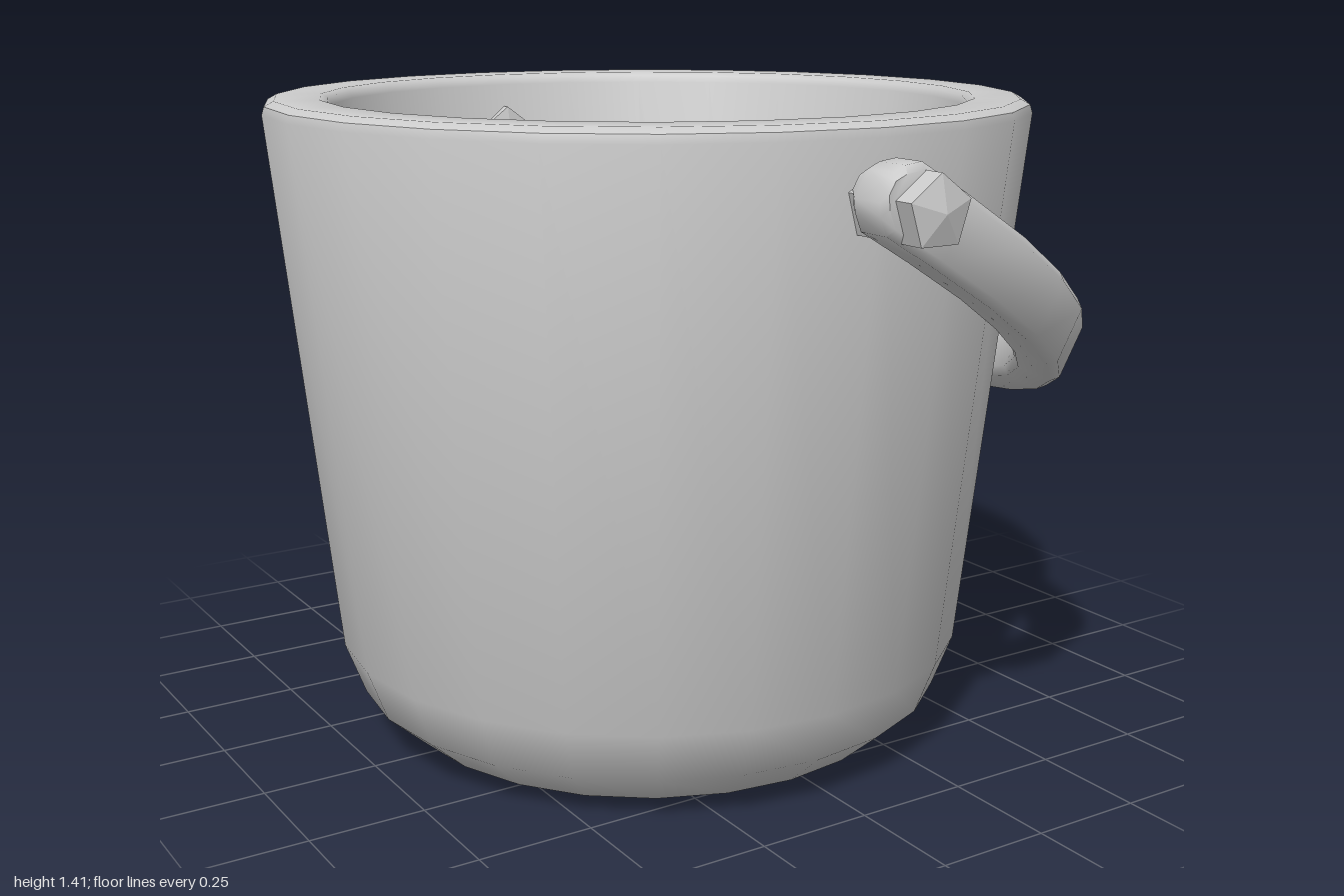
import * as THREE from 'three';
import { toCreasedNormals } from 'three/addons/utils/BufferGeometryUtils.js';

const AXIS_X = -0.055; // bucket axis
const PIVOT_Y = 1.265; // handle pivot height
const TILT = THREE.MathUtils.degToRad(-30.5);

const mat = new THREE.MeshStandardMaterial({ color: 0xcccccc });

function addMesh(parent, name, geometry, crease) {
  const mesh = new THREE.Mesh(toCreasedNormals(geometry, crease), mat);
  mesh.name = name;
  parent.add(mesh);
  return mesh;
}

const lathe = (profile, sides) =>
  new THREE.LatheGeometry(profile.map(([r, y]) => new THREE.Vector2(r, y)), sides);

// Sweeps a chamfered rectangle along stations { x, z, a, w }:
// a = direction of the outer face in the xz plane, w = half width in y
function sweepBand(stations, halfThick, chamfer) {
  const pos = [], index = [], N = 8;
  for (const { x, z, a, w } of stations) {
    const t = halfThick, c = chamfer;
    const section = [
      [w, -t + c], [w, t - c], [w - c, t], [-w + c, t],
      [-w, t - c], [-w, -t + c], [-w + c, -t], [w - c, -t],
    ];
    for (const [n, o] of section) pos.push(x + Math.cos(a) * o, n, z + Math.sin(a) * o);
  }
  const last = (stations.length - 1) * N;
  for (let i = 0; i < last; i += N) {
    for (let j = 0; j < N; j++) {
      const k = (j + 1) % N;
      index.push(i + j, i + k, i + N + j, i + k, i + N + k, i + N + j);
    }
  }
  for (let j = 1; j < N - 1; j++) {
    index.push(0, j + 1, j, last, last + j, last + j + 1);
  }
  const g = new THREE.BufferGeometry();
  g.setAttribute('position', new THREE.Float32BufferAttribute(pos, 3));
  g.setIndex(index);
  return g;
}

export function createModel() {
  const model = new THREE.Group();
  model.name = 'bucket';

  // Thick-walled body: outside, rim, inside, floor
  const body = addMesh(model, 'body', lathe([
    [0, 0], [0.44, 0], [0.57, 0.02], [0.66, 0.1], [0.703, 0.215],
    [0.825, 1.385], [0.82, 1.402], [0.8, 1.413],
    [0.705, 1.413], [0.69, 1.405], [0.683, 1.39],
    [0.58, 0.3], [0.55, 0.22], [0.5, 0.165], [0.43, 0.14], [0, 0.14],
  ], 24), 0.75);
  body.position.x = AXIS_X;

  // Tilted handle: straight ends joined by a half circle
  const R = 0.888, START = 0.09, HALF = 0.075, STEPS = 16;
  const ends = [[-0.088, 0.03], [-0.072, 0.052], [-0.042, HALF]];
  const stations = ends.map(([x, w]) => ({ x, z: R, a: Math.PI / 2, w }));
  for (let i = 0; i <= STEPS; i++) {
    const a = Math.PI / 2 - (Math.PI * i) / STEPS;
    stations.push({ x: START + R * Math.cos(a), z: R * Math.sin(a), a, w: HALF });
  }
  for (const [x, w] of [...ends].reverse()) stations.push({ x, z: -R, a: -Math.PI / 2, w });
  const handle = addMesh(model, 'handle', sweepBand(stations, 0.052, 0.016), 0.9);
  handle.position.set(AXIS_X, PIVOT_Y, 0);
  handle.rotation.z = TILT;

  // Five-sided pins with pointed ends, through handle and wall
  for (const side of [1, -1]) {
    const pin = addMesh(model, side > 0 ? 'frontPin' : 'backPin', lathe([
      [0, 0.64], [0.072, 0.657], [0.072, 0.983], [0, 1],
    ], 5), 0.2);
    pin.position.set(AXIS_X, PIVOT_Y, 0);
    pin.rotation.set((side * Math.PI) / 2, side > 0 ? Math.PI : 0, 0);
  }
  return model;
}
